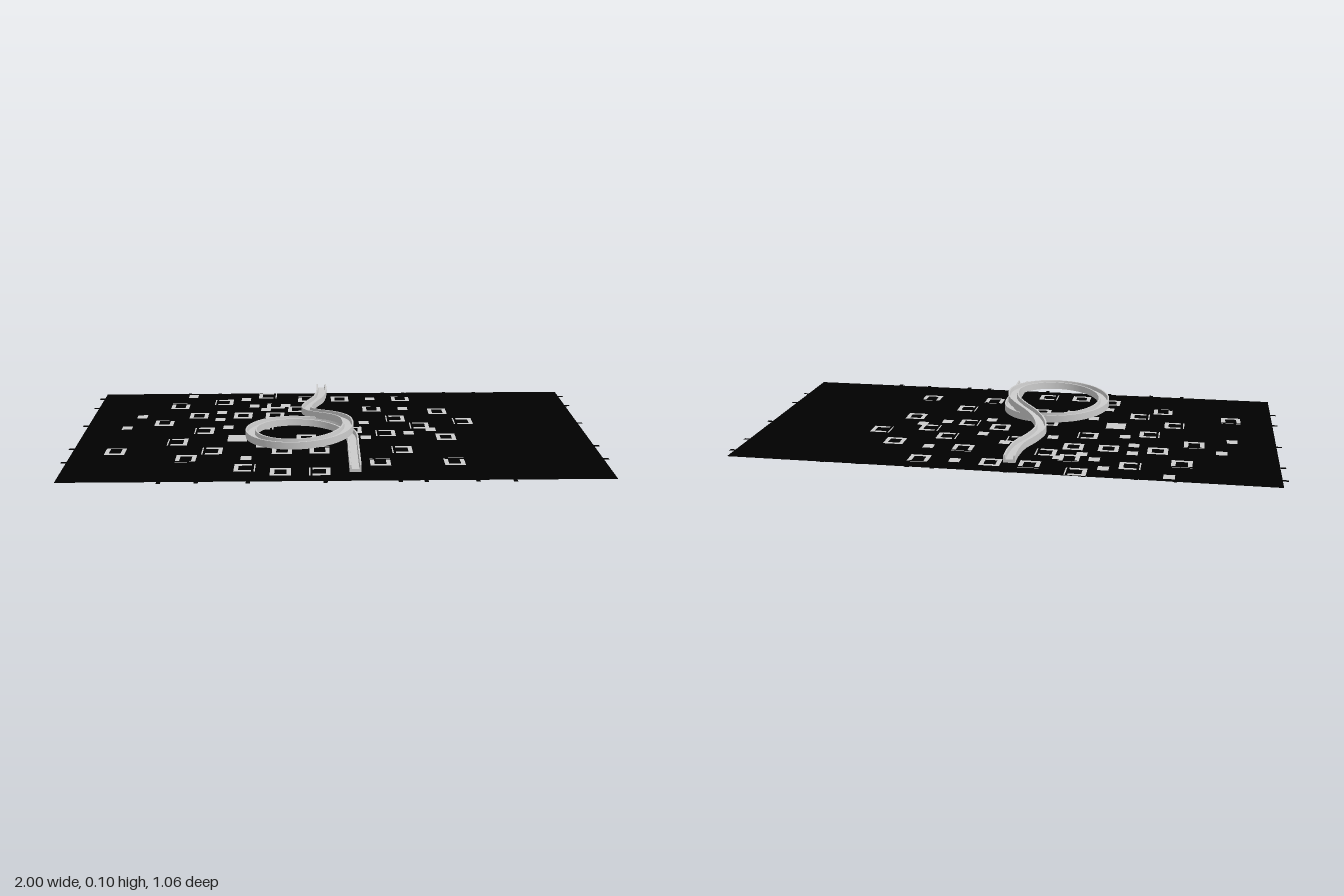
import * as THREE from 'three';
import { toCreasedNormals } from 'three/addons/utils/BufferGeometryUtils.js';

const grey = new THREE.MeshStandardMaterial({ color: 0xcccccc });
const black = new THREE.MeshStandardMaterial({ color: 0x000000, side: THREE.DoubleSide });

// Flat horizontal rectangle facing up
function flat(name, x, z, w, d, y, material) {
  const mesh = new THREE.Mesh(new THREE.PlaneGeometry(w, d).rotateX(-Math.PI / 2), material);
  mesh.position.set(x, y, z);
  mesh.name = name;
  return mesh;
}

// Square frame tile; an open one has a thin separate strip on its open side (-z before turning)
function frameTile(x, z, open, turn) {
  const g = new THREE.Group();
  const s = 0.075, b = 0.016, y = 0.0015;
  g.name = open ? 'openFrameTile' : 'frameTile';
  g.add(flat('bar', 0, (s - b) / 2, s, b, y, grey));
  const sideLength = s - b - (open ? 0.012 : b);
  const sideZ = open ? -0.002 : 0;
  for (const i of [-1, 1]) g.add(flat('bar', i * (s - b) / 2, sideZ, b, sideLength, y, grey));
  if (open) g.add(flat('strip', 0, -s / 2 + 0.001, s, 0.005, y, grey));
  else g.add(flat('bar', 0, -(s - b) / 2, s, b, y, grey));
  g.position.set(x, 0, z);
  g.rotation.y = turn;
  return g;
}

// Sweep an upright closed profile (counterclockwise) along a curve
function sweep(curve, profile, steps) {
  const pos = [], index = [], n = profile.length;
  const up = new THREE.Vector3(0, 1, 0);
  for (let i = 0; i <= steps; i++) {
    const p = curve.getPointAt(i / steps);
    const side = curve.getTangentAt(i / steps).cross(up).normalize();
    for (const q of profile) pos.push(p.x + side.x * q.x, p.y + q.y, p.z + side.z * q.x);
  }
  for (let i = 0; i < steps; i++) {
    for (let k = 0; k < n; k++) {
      const a = i * n + k, b = i * n + (k + 1) % n;
      index.push(a, a + n, b, b, a + n, b + n);
    }
  }
  const end = steps * n;
  for (const [a, b, c] of THREE.ShapeUtils.triangulateShape(profile, [])) {
    index.push(a, b, c, end + a, end + c, end + b);
  }
  const geo = new THREE.BufferGeometry();
  geo.setAttribute('position', new THREE.Float32BufferAttribute(pos, 3));
  geo.setIndex(index);
  return toCreasedNormals(geo, 0.6);
}

// Looping channel: straight run in, one rising turn, descending S-bend out
function createTrack() {
  const pts = [[0.064, 0.025, 0.49], [0.064, 0.025, 0.38], [0.064, 0.025, 0.27]];
  const cx = -0.134, cz = 0.167, turns = 24;
  for (let i = 0; i <= turns; i++) {
    const t = i / turns, a = t * Math.PI * 2;
    const r = 0.181 + 0.017 * Math.max(0, 1 - t * 4);
    const y = 0.025 + 0.049 * t * t * (3 - 2 * t);
    pts.push([cx + r * Math.cos(a), y, cz - r * Math.sin(a)]);
  }
  pts.push([0.036, 0.071, 0.09], [-0.002, 0.064, 0.025], [-0.055, 0.053, -0.035],
    [-0.093, 0.041, -0.095], [-0.109, 0.031, -0.165], [-0.09, 0.026, -0.25],
    [-0.06, 0.024, -0.33], [-0.048, 0.024, -0.42], [-0.048, 0.024, -0.5]);
  const curve = new THREE.CatmullRomCurve3(pts.map(p => new THREE.Vector3(...p)), false, 'centripetal');
  curve.arcLengthDivisions = 1000;
  // U-shaped section with a shallow floor
  const profile = [[-0.021, 0], [0.021, 0], [0.021, 0.027], [0.015, 0.027], [0.013, 0.012],
    [-0.013, 0.012], [-0.015, 0.027], [-0.021, 0.027]].map(p => new THREE.Vector2(...p));
  const mesh = new THREE.Mesh(sweep(curve, profile, 240), grey);
  mesh.name = 'loopTrack';
  return mesh;
}

export function createModel() {
  const model = new THREE.Group();
  model.name = 'loopTrackBoard';
  model.add(flat('board', 0, -0.011, 1.96, 1.038, 0, black));

  // Edge ticks
  for (const s of [-1, 1]) {
    for (const z of [-0.46, -0.33, -0.1, 0.17, 0.31]) {
      model.add(flat('edgeTick', s * 0.988, z, 0.024, 0.015, 0, black));
    }
    for (const x of [-0.62, -0.49, -0.31, -0.04, 0.22, 0.31, 0.49, 0.62]) {
      model.add(flat('edgeTick', x, s < 0 ? -0.525 : 0.515, 0.015, 0.02, 0, black));
    }
  }

  // Solid square tiles
  const solids = [[-0.6, -0.49], [-0.37, -0.44], [0.16, -0.44], [-0.33, -0.35], [-0.2, -0.35],
    [-0.46, -0.26], [0.29, -0.3], [0.02, -0.21], [-0.28, -0.3], [-0.78, -0.21], [-0.82, -0.07],
    [-0.46, -0.17], [-0.42, -0.07], [-0.15, -0.12], [0.12, -0.12], [0.12, 0.06], [0.38, -0.03],
    [0.29, 0.01], [-0.02, 0.1], [-0.28, 0.145], [-0.33, 0.28]];
  for (const [x, z] of solids) model.add(flat('squareTile', x, z, 0.04, 0.042, 0.0015, grey));
  model.add(flat('largeSquareTile', -0.375, 0.06, 0.075, 0.075, 0.0015, grey));

  // Frame tiles grouped by the direction of their opening
  const closed = [[-0.37, -0.22], [-0.24, -0.22], [-0.55, -0.22], [-0.11, 0.06], [0.43, 0.06],
    [0.43, -0.26], [0.07, -0.03], [-0.2, 0.42], [0.03, -0.44]];
  const back = [[-0.64, -0.35], [-0.68, -0.13], [-0.82, 0.2], [-0.11, -0.44], [0.16, -0.3],
    [0.16, 0.33], [0.29, -0.44], [0.43, 0.33], [-0.2, 0.2], [-0.06, 0.2], [-0.24, -0.35]];
  const front = [[-0.55, 0.28]];
  const right = [[-0.46, -0.4], [-0.51, -0.03], [-0.6, 0.1], [-0.46, 0.2], [0.25, -0.17],
    [0.2, 0.01], [0.25, 0.2], [0.34, -0.08], [0.52, -0.13], [-0.06, 0.42]];
  const left = [[-0.28, -0.49], [-0.28, -0.08], [-0.02, -0.17], [-0.33, 0.38], [-0.15, -0.3]];
  const q = Math.PI / 2;
  for (const [list, open, turn] of [[closed, false, 0], [back, true, 0], [front, true, 2 * q],
    [right, true, q], [left, true, -q]]) {
    for (const [x, z] of list) model.add(frameTile(x, z, open, turn));
  }

  model.add(createTrack());
  return model;
}
